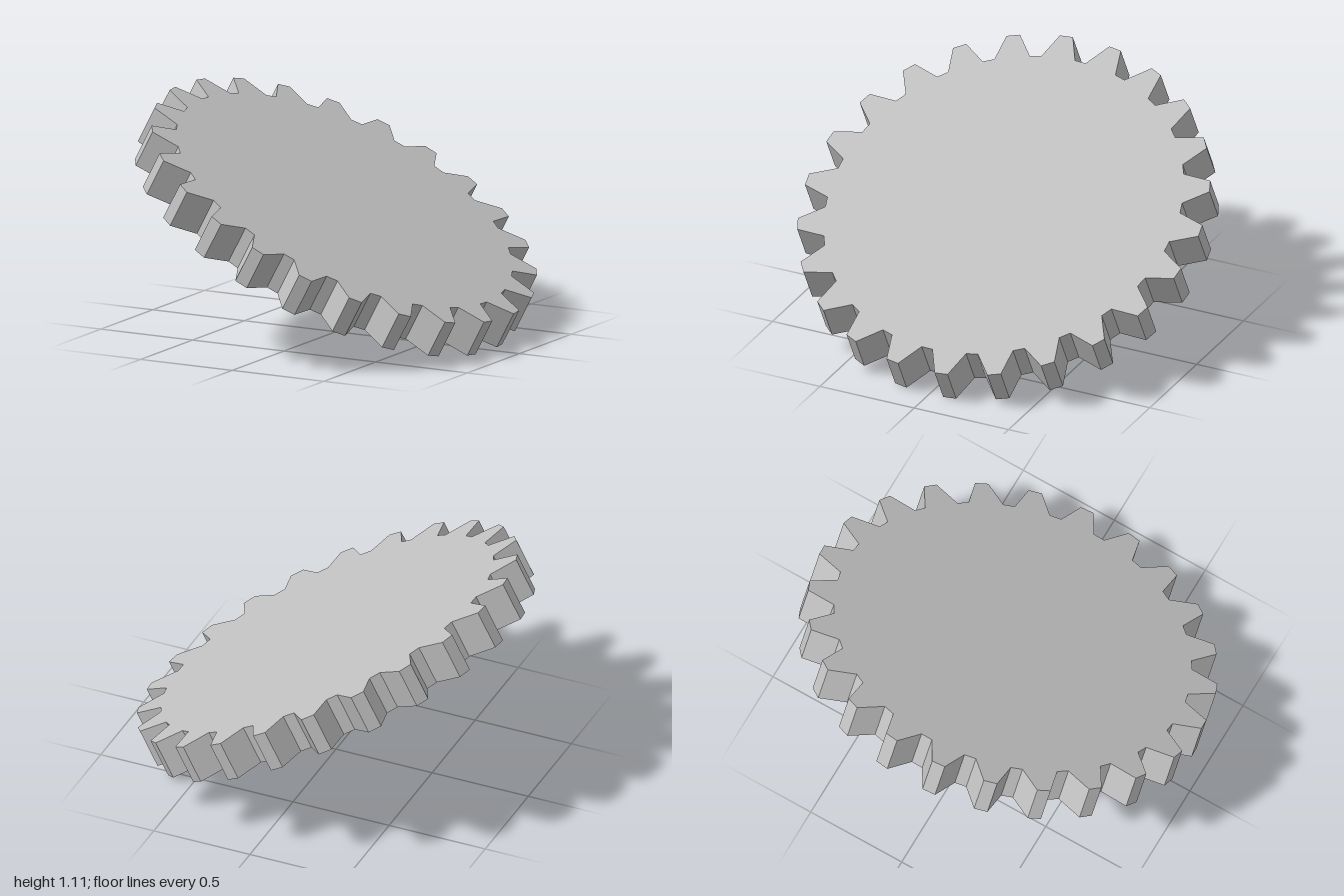
import * as THREE from 'three';

const TEETH = 24, TIP = 1.0025, ROOT = 0.875, THICK = 0.195;
const TILT = THREE.MathUtils.degToRad(28.1);
const PHASE = THREE.MathUtils.degToRad(9);

// Toothed outline: each tooth has four evenly spaced corners (root, tip, tip, root)
function gearShape() {
  const pts = [], step = Math.PI * 2 / (TEETH * 4);
  for (let t = 0; t < TEETH; t++) {
    [ROOT, TIP, TIP, ROOT].forEach((r, i) => {
      const a = PHASE + (t * 4 + i - 1.5) * step;
      pts.push(new THREE.Vector2(r * Math.cos(a), r * Math.sin(a)));
    });
  }
  return new THREE.Shape(pts);
}

export function createModel() {
  const steel = new THREE.MeshStandardMaterial({ color: 0xc0c0c0 });
  steel.name = 'steelGrey';

  // Solid toothed disc, laid flat and then tilted down towards +x
  const geo = new THREE.ExtrudeGeometry(gearShape(), { depth: THICK, bevelEnabled: false });
  geo.translate(0, 0, -THICK / 2);
  geo.rotateX(Math.PI / 2);
  geo.rotateZ(-TILT);

  // Stand the lowest tooth on the ground
  geo.computeBoundingBox();
  geo.translate(0, -geo.boundingBox.min.y, 0);

  const gear = new THREE.Mesh(geo, steel);
  gear.name = 'gearWheel';
  const group = new THREE.Group();
  group.name = 'tiltedGear';
  group.add(gear);
  return group;
}
